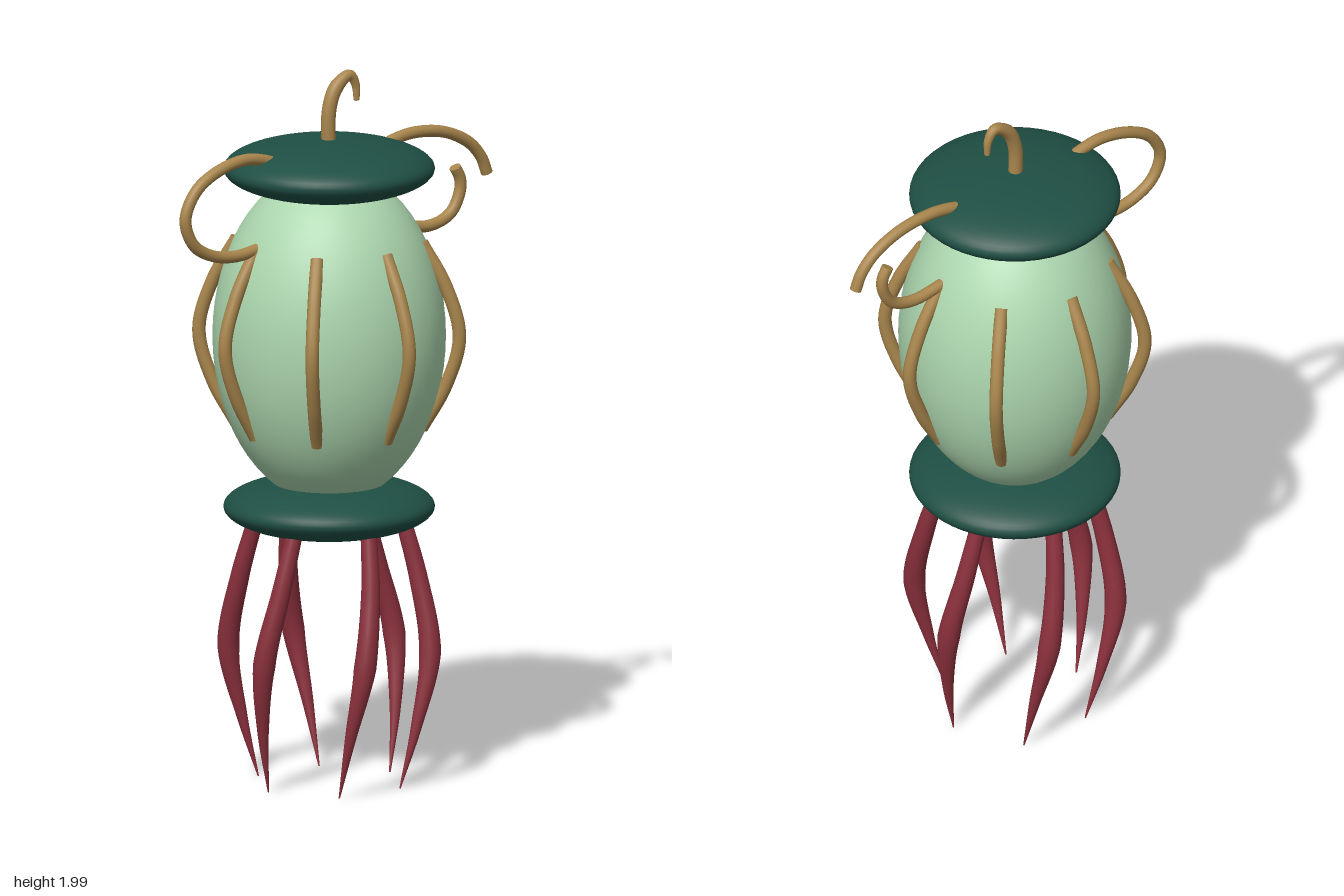
import * as THREE from 'three';

const mat = (name, color) => {
  const m = new THREE.MeshStandardMaterial({ color });
  m.name = name;
  return m;
};

export function createModel() {
  const mint = mat('mint', 0xacd6ae);
  const teal = mat('deep teal', 0x1f4f44);
  const gold = mat('old gold', 0xa8854c);
  const crimson = mat('crimson', 0x8a303c);

  const model = new THREE.Group();
  model.name = 'lantern';
  model.position.x = -0.025; // the uneven handles shift the axis off centre

  const curveFrom = (pts) =>
    new THREE.CatmullRomCurve3(pts.map(([x, y, z = 0]) => new THREE.Vector3(x, y, z)));

  // Round tube along a curve with radius given by a function of 0..1, closed by discs
  function taperedTube(name, pts, radiusAt, material, segments = 40, sides = 14) {
    const curve = curveFrom(pts);
    const geo = new THREE.TubeGeometry(curve, segments, 1, sides, false);
    const pos = geo.attributes.position;
    const v = new THREE.Vector3();
    for (let i = 0; i <= segments; i++) {
      const centre = curve.getPointAt(i / segments);
      for (let j = 0; j <= sides; j++) {
        const k = i * (sides + 1) + j;
        v.fromBufferAttribute(pos, k).sub(centre).multiplyScalar(radiusAt(i / segments)).add(centre);
        pos.setXYZ(k, v.x, v.y, v.z);
      }
    }
    const part = new THREE.Group();
    part.name = name;
    const tube = new THREE.Mesh(geo, material);
    tube.name = name + 'Tube';
    part.add(tube);
    for (const u of [0, 1]) {
      const cap = new THREE.Mesh(new THREE.CircleGeometry(radiusAt(u), sides), material);
      cap.name = name + 'Cap';
      cap.position.copy(curve.getPointAt(u));
      const out = curve.getTangentAt(u).multiplyScalar(u ? 1 : -1);
      cap.quaternion.setFromUnitVectors(new THREE.Vector3(0, 0, 1), out);
      part.add(cap);
    }
    model.add(part);
    return part;
  }

  function ellipsoid(name, radius, halfHeight, y, material) {
    const mesh = new THREE.Mesh(new THREE.SphereGeometry(1, 48, 32), material);
    mesh.name = name;
    mesh.scale.set(radius, halfHeight, radius);
    mesh.position.y = y;
    model.add(mesh);
  }

  // Body and the two flattened collars
  ellipsoid('body', 0.32, 0.47, 1.26, mint);
  ellipsoid('topCollar', 0.29, 0.082, 1.727, teal);
  ellipsoid('bottomCollar', 0.29, 0.08, 0.78, teal);

  // Eight bowed ribs around the body
  const ribPath = [[0.255, 1.525], [0.322, 1.405], [0.36, 1.265], [0.322, 1.125], [0.255, 1.005]];
  for (let i = 0; i < 8; i++) {
    const rib = taperedTube('rib', ribPath, () => 0.0185, gold);
    rib.rotation.y = (i * Math.PI) / 4;
  }

  // Closed handle on the right, broken handle on the left
  const handleRadius = () => 0.0165;
  taperedTube('rightHandle', [
    [-0.161, 1.755], [-0.22, 1.777], [-0.293, 1.788], [-0.388, 1.767], [-0.462, 1.72],
    [-0.497, 1.645], [-0.468, 1.572], [-0.404, 1.534], [-0.325, 1.522], [-0.23, 1.535],
  ], handleRadius, gold, 64);
  taperedTube('leftHandleUpper', [
    [0.161, 1.755], [0.22, 1.777], [0.298, 1.788], [0.4, 1.775], [0.483, 1.735],
    [0.526, 1.688], [0.545, 1.642],
  ], handleRadius, gold);
  taperedTube('leftHandleLower', [
    [0.23, 1.535], [0.35, 1.52], [0.42, 1.546], [0.452, 1.603], [0.452, 1.64], [0.435, 1.672],
  ], handleRadius, gold);

  // Hanging hook, thinning towards its end
  taperedTube('topHook', [
    [0, 1.75], [0, 1.89], [0.024, 1.95], [0.07, 1.979], [0.091, 1.95], [0.095, 1.905],
  ], (u) => 0.02 - 0.012 * Math.max(0, (u - 0.6) / 0.4), gold, 48);

  // Six twisting tentacles: radius from axis, twist in degrees, height
  const tentaclePath = [[0.2, -25, 0.75], [0.245, -20, 0.58], [0.28, -13, 0.38], [0.25, -6, 0.18], [0.21, 0, 0.005]]
    .map(([r, deg, y]) => {
      const a = THREE.MathUtils.degToRad(deg);
      return [r * Math.cos(a), y, r * Math.sin(a)];
    });
  const tentacleRadius = (u) =>
    u < 0.5 ? 0.022 + 0.018 * u : 0.002 + 0.029 * (1 - u) * 2;
  for (let i = 0; i < 6; i++) {
    const tentacle = taperedTube('tentacle', tentaclePath, tentacleRadius, crimson, 32);
    tentacle.rotation.y = (i * Math.PI) / 3;
  }

  const root = new THREE.Group();
  root.name = 'model';
  root.add(model);
  return root;
}
